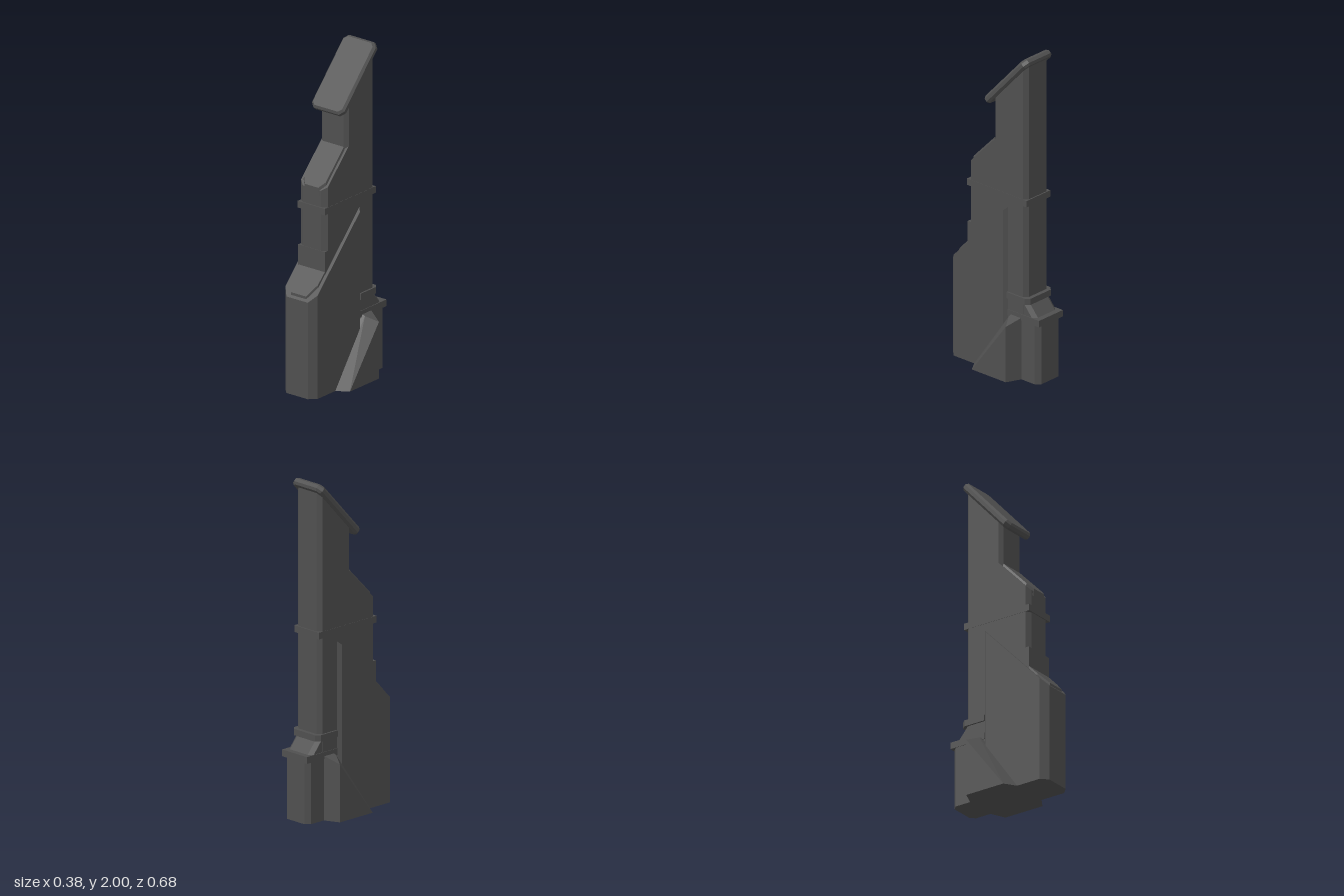
import * as THREE from 'three';
import { ConvexGeometry } from 'three/addons/geometries/ConvexGeometry.js';

const stone = new THREE.MeshStandardMaterial({ color: 0x505050 });
stone.name = 'dark grey';

// Rectangle with cut corners; back and front are [cut in x, cut in z]
function cutPlan(hw, z0, z1, back = [0, 0], front = [0, 0]) {
  const half = [];
  const corner = (z, [cx, cz], sign) => {
    const pts = [[hw - cx, z], [hw, z + sign * cz]];
    return cx > 0 ? pts : [[hw, z]];
  };
  half.push(...corner(z0, back, 1), ...corner(z1, front, -1).reverse());
  const all = [...half, ...half.slice().reverse().map(([x, z]) => [-x, z])];
  return all.map(([x, z]) => new THREE.Vector2(x, -z));
}

// Upright prism whose bottom and top heights follow rules of z
function prism(name, plan, bottom, top, taper = 1) {
  const rule = (r) => (typeof r === 'function' ? r : () => r);
  const g = new THREE.ExtrudeGeometry(new THREE.Shape(plan), { depth: 1, bevelEnabled: false });
  g.rotateX(-Math.PI / 2);
  const p = g.attributes.position;
  for (let i = 0; i < p.count; i++) {
    const upper = p.getY(i) > 0.5;
    p.setY(i, rule(upper ? top : bottom)(p.getZ(i)));
    if (upper) p.setX(i, p.getX(i) * taper);
  }
  g.computeVertexNormals();
  const m = new THREE.Mesh(g, stone);
  m.name = name;
  return m;
}

export function createModel() {
  const group = new THREE.Group();
  const add = (...args) => group.add(prism(...args));

  const roofSlope = (z) => 1.8 - (z + 0.0715) * 1.086;
  const shoulderSlope = (z) => 1.23 + (0.2 - z) * 1.03;
  const plinthSlope = (z) => 0.585 + (0.34 - z) * 1.04;
  const offset = (rule, d) => (z) => rule(z) + d;

  // Tall shaft and the stepped block in front of it
  add('shaft', cutPlan(0.098, -0.238, 0.015, [0.025, 0.022], [0.022, 0.02]), 0, roofSlope);
  add('frontBlock', cutPlan(0.098, -0.012, 0.205, [0, 0], [0.032, 0.022]), 0.8, shoulderSlope);
  add('frontBlockFoot', cutPlan(0.098, -0.012, 0.208), 0, 0.86);
  add('shoulderSlab', cutPlan(0.09, 0.016, 0.208, [0, 0], [0.035, 0.03]),
    offset(shoulderSlope, -0.03), offset(shoulderSlope, 0.018), 0.88);
  add('middleBand', cutPlan(0.0995, -0.245, 0.212), 1.085, 1.125);

  // Sloped plinth with its front slab
  add('plinth', cutPlan(0.118, -0.1, 0.338, [0.02, 0.02], [0.04, 0.04]), 0, plinthSlope);
  add('plinthSlab', cutPlan(0.1, 0.205, 0.326, [0, 0], [0.042, 0.06]),
    offset(plinthSlope, -0.03), offset(plinthSlope, 0.016), 0.95);

  // Stepped base at the back
  add('backBase', cutPlan(0.098, -0.332, -0.1, [0.027, 0.027]), 0, 0.37);
  add('backBaseBand', cutPlan(0.101, -0.34, -0.1), 0.367, 0.407);
  const taperPoints = [];
  for (const s of [-1, 1]) {
    for (const [y, z] of [[0.4, -0.312], [0.482, -0.243]]) {
      taperPoints.push(new THREE.Vector3(s * 0.072, y, z), new THREE.Vector3(s * 0.0965, y, z + 0.025),
        new THREE.Vector3(s * 0.0965, y, -0.15));
    }
  }
  const backTaper = new THREE.Mesh(new ConvexGeometry(taperPoints), stone);
  backTaper.name = 'backTaper';
  group.add(backTaper);
  add('backCollar', cutPlan(0.108, -0.262, -0.1, [0.023, 0.025]), 0.478, 0.516);

  // Wedge buttresses on both sides
  for (const s of [-1, 1]) {
    const pts = [[0.188, 0, 0.095], [0.188, 0, -0.165], [0.188, 0.345, -0.165]];
    for (const [x, d] of [[0.118, 0], [0.09, 0.012]]) {
      pts.push([x, 0, 0.14 + d], [x, 0, -0.195 - d], [x, 0.375 + d, -0.125], [x, 0.375 + d, -0.195 - d]);
    }
    const b = new THREE.Mesh(
      new ConvexGeometry(pts.map(([x, y, z]) => new THREE.Vector3(s * x, y, z))), stone);
    b.name = s > 0 ? 'leftButtress' : 'rightButtress';
    group.add(b);
  }

  // Slanted roof plate with bevelled rim
  const bevel = 0.013;
  const roofPlan = cutPlan(0.119 - bevel, -0.235 + bevel, 0.235 - bevel, [0.02, 0.02], [0.02, 0.02]);
  const roofGeo = new THREE.ExtrudeGeometry(new THREE.Shape(roofPlan), {
    depth: 0.02, bevelEnabled: true, bevelSegments: 1, bevelSize: bevel, bevelThickness: bevel,
  });
  roofGeo.translate(0, 0, -0.02 - bevel);
  const roof = new THREE.Mesh(roofGeo, stone);
  roof.name = 'roofPlate';
  roof.rotation.x = -Math.atan2(0.313, 0.34);
  roof.position.set(0, 1.836, -0.0715);
  group.add(roof);

  return group;
}
